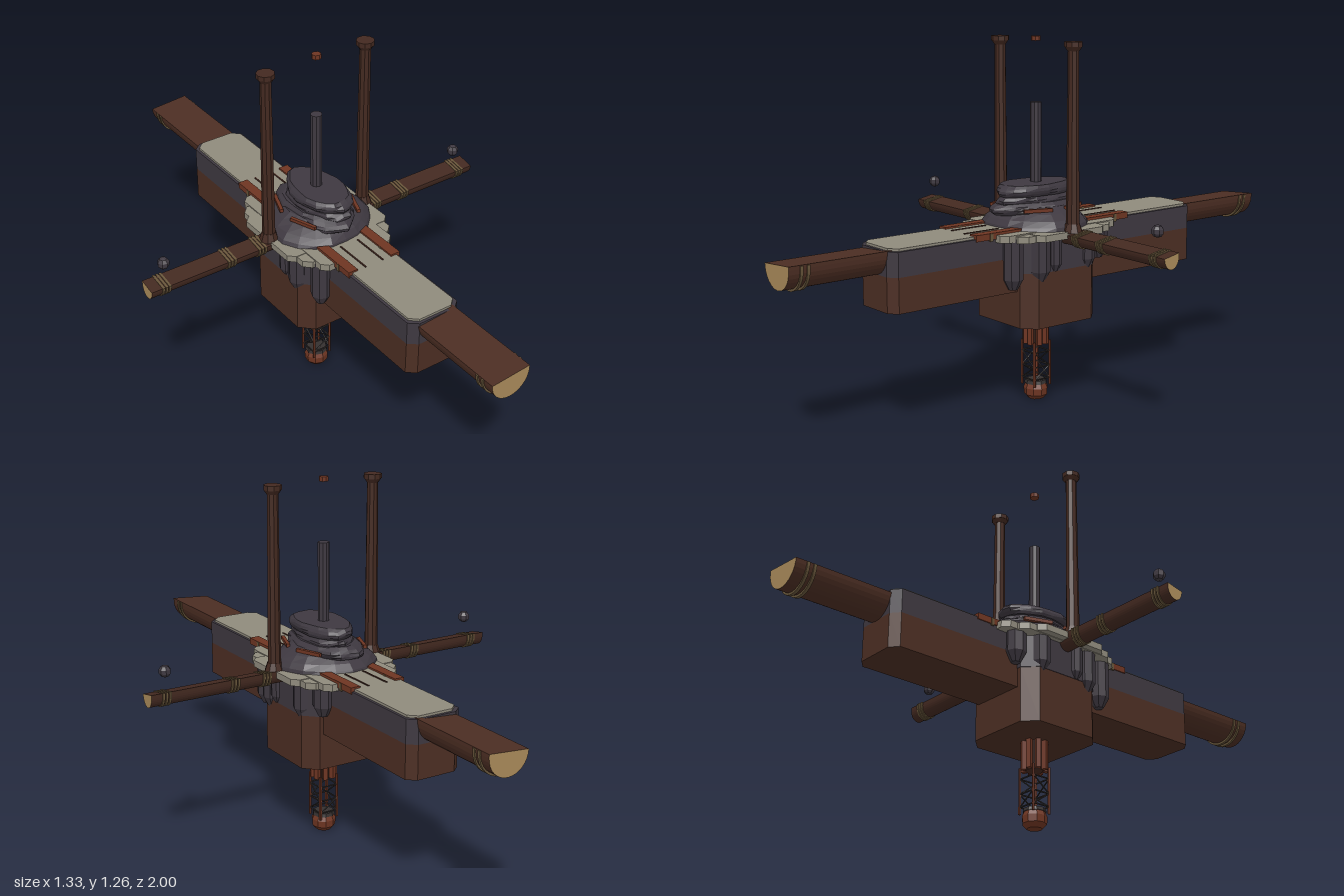
import * as THREE from 'three';

const mat = (name, color) => Object.assign(new THREE.MeshStandardMaterial({ color }), { name });

export function createModel() {
  const M = {
    brown: mat('timber brown', 0x4c2e23),
    dark: mat('dark timber', 0x432920),
    stone: mat('dark stone', 0x3e3840),
    pale: mat('pale stone', 0x8f8a7c),
    tan: mat('cut wood', 0xa98a5a),
    rope: mat('rope', 0x67553a),
    red: mat('red wood', 0x6e3522),
    iron: mat('iron', 0x35302f),
  };
  const root = new THREE.Group();

  // flat-shaded mesh helper
  const add = (name, geo, material, x = 0, y = 0, z = 0, parent = root) => {
    const g = geo.index ? geo.toNonIndexed() : geo;
    g.computeVertexNormals();
    const m = new THREE.Mesh(g, material);
    m.name = name;
    m.position.set(x, y, z);
    parent.add(m);
    return m;
  };
  const box = (w, h, d) => new THREE.BoxGeometry(w, h, d);
  const cyl = (rt, rb, h, n = 10) => new THREE.CylinderGeometry(rt, rb, h, n);

  // vertical prism with chamfered corners, from y0 to y1
  const prism = (hx, hz, cx, cz, y0, y1) => {
    const pts = [[hx, -hz + cz], [hx, hz - cz], [hx - cx, hz], [-hx + cx, hz],
      [-hx, hz - cz], [-hx, -hz + cz], [-hx + cx, -hz], [hx - cx, -hz]];
    const s = new THREE.Shape(pts.map(([x, z]) => new THREE.Vector2(x, z)));
    return new THREE.ExtrudeGeometry(s, { depth: y1 - y0, bevelEnabled: false })
      .rotateX(-Math.PI / 2).translate(0, y0, 0);
  };

  // flat-topped half log along z, centred, top at y = 0
  const halfLog = (rx, h, len) => {
    const s = new THREE.Shape();
    s.moveTo(-rx, 0);
    s.absellipse(0, -0.012, rx, h - 0.012, Math.PI, Math.PI * 2, false);
    s.lineTo(rx, 0);
    return new THREE.ExtrudeGeometry(s, { depth: len, bevelEnabled: false, curveSegments: 8 })
      .translate(0, 0, -len / 2);
  };

  // lumpy flat rock, tapering from radius ratio 1 at the base to `top`
  const rock = (rx, rz, h, top, seed, rough = 0.06) => {
    const g = new THREE.CylinderGeometry(1, 1, 1, 20, 4);
    const p = g.attributes.position;
    for (let i = 0; i < p.count; i++) {
      const x = p.getX(i), y = p.getY(i), z = p.getZ(i);
      const a = Math.atan2(z, x), t = y + 0.5;
      const bulge = 0.9 + 0.1 * Math.sin(Math.PI * t);
      const k = (1 + (top - 1) * t) * bulge
        * (1 + rough * Math.sin(a * 3 + seed + t * 2) + rough * 0.6 * Math.sin(a * 7 + seed * 2.3 - t * 3));
      p.setXYZ(i, x * k * rx, y * h, z * k * rz);
    }
    return g;
  };

  // main beam and cross beam with pale cut ends
  const topY = 0.628;
  add('mainBeam', halfLog(0.073, 0.086, 2), [M.tan, M.brown], 0, topY - 0.002, 0);
  add('crossBeam', halfLog(0.031, 0.05, 1.33).rotateY(Math.PI / 2), [M.tan, M.dark], 0, topY, 0);

  // rope lashings
  for (const s of [-1, 1]) {
    for (const x of [0.24, 0.36, 0.61]) {
      for (const d of [-0.012, 0, 0.012]) {
        add('crossBeamRope', halfLog(0.035, 0.056, 0.008).rotateY(Math.PI / 2), M.rope, s * (x + d), topY + 0.002, 0);
      }
    }
    for (const d of [-0.012, 0.012]) {
      add('mainBeamRope', halfLog(0.077, 0.092, 0.01), M.rope, 0, topY - 0.004, s * (0.945 + d));
    }
  }

  // long hull: timber below, stone above, pale deck
  add('hullLower', prism(0.1, 0.655, 0.03, 0.025, 0.425, 0.542), M.brown);
  add('hullUpper', prism(0.1, 0.655, 0.03, 0.025, 0.542, 0.624), M.stone);
  add('deck', prism(0.09, 0.645, 0.027, 0.025, 0.624, 0.632), M.pale);

  // central keel block
  add('keelLower', prism(0.16, 0.16, 0.045, 0.045, 0.3, 0.49), M.brown);
  add('keelUpper', prism(0.162, 0.162, 0.045, 0.045, 0.49, 0.61), M.stone);

  // hanging stone lobes round the keel: x, z, radius, bottom
  const lobes = [[0.145, 0.1, 0.035, 0.46], [0.115, 0.19, 0.035, 0.44], [0.155, 0.045, 0.025, 0.49],
    [0.145, -0.1, 0.033, 0.48], [0.115, -0.18, 0.035, 0.5]];
  for (const s of [-1, 1]) {
    for (const [x, z, r, y] of lobes) {
      const len = 0.615 - y;
      add('stoneLobe', cyl(r, r, len - r, 8), M.stone, s * x, y + r + (len - r) / 2, z);
      add('stoneLobeTip', cyl(r, r * 0.45, r, 8), M.stone, s * x, y + r / 2, z);
    }
  }

  // scalloped pale ledge round the middle
  const ledge = (hx, hz, c, y0, y1) => prism(hx, hz, c, c, y0, y1);
  add('ledgeWide', ledge(0.205, 0.145, 0.022, 0.604, 0.627), M.pale);
  add('ledgeMiddle', ledge(0.18, 0.2, 0.025, 0.602, 0.625), M.pale);
  add('ledgeLong', ledge(0.145, 0.25, 0.022, 0.605, 0.629), M.pale);

  // timber planks running out along the deck
  for (const sx of [-1, 1]) {
    for (const sz of [-1, 1]) {
      add('deckPlank', box(0.036, 0.022, 0.2), M.red, sx * 0.086, 0.627, sz * 0.23);
      add('deckSeam', box(0.005, 0.004, 0.14), M.dark, sx * 0.035, 0.633, sz * 0.26);
      add('plankRope', box(0.04, 0.026, 0.012), M.rope, sx * 0.086, 0.624, sz * 0.27);
      const stay = add('rockStay', box(0.012, 0.012, 0.1), M.red, sx * 0.106, 0.69, sz * 0.075);
      stay.rotation.y = -sx * sz * 0.35;
    }
  }

  // stacked rock mound and its standing pillar
  add('moundSkirt', rock(0.208, 0.205, 0.075, 0.58, 0.5, 0.03), M.stone, 0, 0.658, 0);
  add('moundLower', rock(0.112, 0.185, 0.04, 0.88, 1.7), M.stone, 0, 0.69, 0);
  add('moundMiddle', rock(0.085, 0.155, 0.035, 0.9, 3.1), M.stone, 0, 0.718, 0.01);
  add('moundTop', rock(0.09, 0.155, 0.038, 0.95, 4.4, 0.04), M.stone, 0, 0.75, 0.01);
  add('pillar', cyl(0.02, 0.02, 0.3, 10), M.stone, 0, 0.89, 0);

  // mast pair and floating stones
  for (const s of [-1, 1]) {
    const mast = new THREE.Group();
    mast.name = 'mast';
    mast.position.set(s * 0.195, 0, 0);
    root.add(mast);
    add('mastShaft', cyl(0.019, 0.023, 0.62, 9), M.dark, 0, 0.93, 0, mast);
    add('mastFoot', cyl(0.024, 0.034, 0.03, 9), M.dark, 0, 0.637, 0, mast);
    add('mastNeck', cyl(0.03, 0.02, 0.014, 9), M.dark, 0, 1.229, 0, mast);
    add('mastCap', cyl(0.031, 0.031, 0.016, 9), M.dark, 0, 1.244, 0, mast);
    add('floatingStone', new THREE.SphereGeometry(0.021, 7, 5), M.stone, s * 0.6, 0.69, 0);
  }
  add('floatingEmber', cyl(0.016, 0.016, 0.016, 8), M.red, 0, 1.253, 0);

  // lower shaft: four red posts round a core
  add('shaftCore', cyl(0.03, 0.03, 0.1, 8), M.dark, 0, 0.25, 0);
  for (let i = 0; i < 8; i++) {
    const a = (i + 0.5) * Math.PI / 4;
    add('shaftPost', box(0.016, 0.1, 0.016), M.red, Math.cos(a) * 0.038, 0.25, Math.sin(a) * 0.038).rotation.y = -a;
  }

  // open cage with rungs and diagonal braces
  const bar = (name, a, b, r, material) => {
    const d = b.clone().sub(a);
    const m = add(name, cyl(r, r, d.length(), 5), material);
    m.position.copy(a).addScaledVector(d, 0.5);
    m.quaternion.setFromUnitVectors(new THREE.Vector3(0, 1, 0), d.normalize());
  };
  const corner = (i, y) => new THREE.Vector3([1, 1, -1, -1][i % 4] * 0.034, y, [1, -1, -1, 1][i % 4] * 0.034);
  for (let i = 0; i < 4; i++) {
    bar('cagePost', corner(i, 0.05), corner(i, 0.21), 0.005, M.red);
    for (const y of [0.075, 0.12, 0.172]) bar('cageRung', corner(i, y), corner(i + 1, y), 0.0028, M.iron);
    bar('cageBrace', corner(i, 0.075), corner(i + 1, 0.12), 0.0025, M.iron);
    bar('cageBrace', corner(i + 1, 0.12), corner(i, 0.172), 0.0025, M.iron);
  }

  // bucket at the foot
  const bucket = [[0, 0], [0.026, 0], [0.041, 0.016], [0.043, 0.04], [0.036, 0.056], [0, 0.06]];
  add('bucket', new THREE.LatheGeometry(bucket.map(([x, y]) => new THREE.Vector2(x, y)), 9), M.red);
  add('bucketRim', cyl(0.037, 0.04, 0.012, 9), M.iron, 0, 0.062, 0);

  return root;
}
